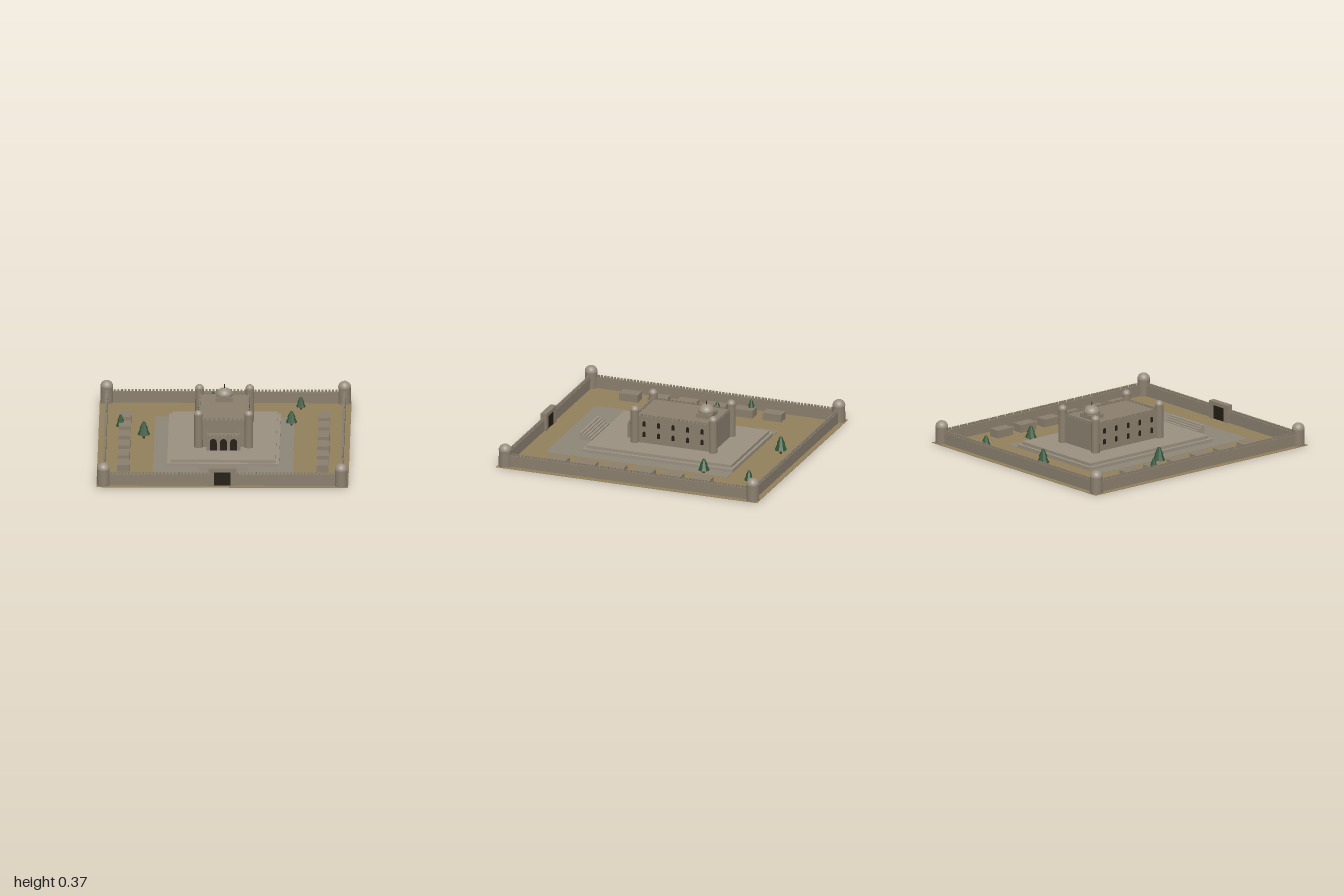
import * as THREE from 'three';
import { mergeGeometries } from 'three/addons/utils/BufferGeometryUtils.js';

const mat = (color, flatShading = false) => new THREE.MeshStandardMaterial({ color, flatShading });
const stone = mat(0x8a7f6e), paleStone = mat(0x9a9080), paving = mat(0x8d8678);
const earth = mat(0x92805a), dark = mat(0x241c15), leaf = mat(0x2f5235, true), bark = mat(0x4a3826);

function add(parent, name, geometry, material, x = 0, y = 0, z = 0) {
  const mesh = new THREE.Mesh(geometry, material);
  mesh.name = name;
  mesh.position.set(x, y, z);
  parent.add(mesh);
  return mesh;
}

// Box given by its centre in plan and its bottom height
function box(parent, name, material, w, h, d, x, y, z) {
  return add(parent, name, new THREE.BoxGeometry(w, h, d), material, x, y + h / 2, z);
}

// Merlons around a rectangle; sides lists which edges get them
function merlons(parent, name, hx, hz, cz, y, pitch, h, t, sides = ['front', 'back', 'left', 'right']) {
  const parts = [];
  for (const side of sides) {
    const alongX = side === 'front' || side === 'back';
    const half = alongX ? hx : hz;
    const n = Math.round((2 * half) / pitch);
    for (let i = 0; i < n; i++) {
      const s = -half + ((i + 0.5) * 2 * half) / n;
      const g = new THREE.BoxGeometry(alongX ? pitch * 0.55 : t, h, alongX ? t : pitch * 0.55);
      const sign = side === 'front' || side === 'left' ? 1 : -1;
      if (alongX) g.translate(s, y + h / 2, cz + sign * (hz - t / 2));
      else g.translate(sign * (hx - t / 2), y + h / 2, cz + s);
      parts.push(g);
    }
  }
  add(parent, name, mergeGeometries(parts), stone);
}

// Round tower with a domed cap
function tower(parent, name, r, y, shaft, x, z) {
  const g = new THREE.Group();
  g.name = name;
  g.position.set(x, y, z);
  add(g, 'towerShaft', new THREE.CylinderGeometry(r * 0.97, r, shaft, 20), stone, 0, shaft / 2, 0);
  add(g, 'towerDome', new THREE.SphereGeometry(r, 20, 8, 0, Math.PI * 2, 0, Math.PI / 2), paleStone, 0, shaft, 0);
  parent.add(g);
}

// Round-headed panel, standing on its base and facing +z
function archGeometry(w, h, depth) {
  const s = new THREE.Shape();
  s.moveTo(-w / 2, 0);
  s.lineTo(w / 2, 0);
  s.lineTo(w / 2, h - w / 2);
  s.absarc(0, h - w / 2, w / 2, 0, Math.PI, false);
  s.closePath();
  return new THREE.ExtrudeGeometry(s, { depth, bevelEnabled: false, curveSegments: 8 });
}

function buildOuterWall(root) {
  const g = new THREE.Group();
  g.name = 'outerWall';
  for (const s of [-1, 1]) {
    box(g, 'longWall', stone, 0.02, 0.085, 1.9, s * 0.85, 0, 0);
    for (const t of [-1, 1]) tower(g, 'cornerTower', 0.046, 0, 0.122, s * 0.85, t * 0.95);
    box(g, 'frontWall', stone, 0.75, 0.085, 0.02, s * 0.475, 0, 0.95);
  }
  box(g, 'backWall', stone, 1.7, 0.085, 0.02, 0, 0, -0.95);
  merlons(g, 'wallMerlons', 0.856, 0.956, 0, 0.085, 0.025, 0.016, 0.012);

  // Gatehouse with a recessed door on both faces
  for (const s of [-1, 1]) box(g, 'gatePier', stone, 0.04, 0.105, 0.046, s * 0.08, 0, 0.947);
  box(g, 'gateLintel', stone, 0.2, 0.027, 0.046, 0, 0.105, 0.947);
  box(g, 'gateDoor', dark, 0.12, 0.105, 0.03, 0, 0, 0.947);
  root.add(g);
}

function buildPlatform(root) {
  const g = new THREE.Group();
  g.name = 'platform';
  box(g, 'lowerTier', paleStone, 0.8, 0.028, 1.15, 0, 0, -0.045);
  box(g, 'upperTier', paleStone, 0.75, 0.022, 1.11, 0, 0.028, -0.045);
  for (let i = 0; i < 6; i++) {
    box(g, 'step', paleStone, 0.36, 0.01 * (i + 1), 0.0185, 0, 0, 0.539 + i * 0.0185);
  }
  root.add(g);
}

function buildHall(root) {
  const g = new THREE.Group();
  g.name = 'hall';
  const cz = -0.085, base = 0.05;
  box(g, 'hallBody', stone, 0.36, 0.2, 0.6, 0, base, cz);
  merlons(g, 'hallMerlons', 0.18, 0.3, cz, 0.25, 0.032, 0.016, 0.012);
  for (const s of [-1, 1]) for (const t of [-1, 1]) {
    tower(g, 'hallTower', 0.031, base, 0.244, s * 0.18, cz + t * 0.3);
  }

  // Two rows of arched windows along each long side
  const win = archGeometry(0.022, 0.04, 0.004);
  for (const s of [-1, 1]) for (const y of [0.095, 0.175]) for (let i = 0; i < 5; i++) {
    const w = add(g, 'window', win, dark, s * 0.179, y, 0.143 - i * 0.111);
    w.rotation.y = (s * Math.PI) / 2;
  }

  // Entrance porch with three arches
  box(g, 'porch', stone, 0.24, 0.105, 0.08, 0, base, 0.255);
  merlons(g, 'porchMerlons', 0.12, 0.04, 0.255, 0.155, 0.027, 0.014, 0.01, ['front', 'left', 'right']);
  const arch = archGeometry(0.05, 0.085, 0.004);
  for (const x of [-0.073, 0, 0.073]) add(g, 'porchArch', arch, dark, x, base, 0.293);

  // Roof dome on a square base
  const dz = -0.265;
  box(g, 'domeBase', stone, 0.124, 0.03, 0.116, 0, 0.25, dz);
  add(g, 'domeDrum', new THREE.CylinderGeometry(0.058, 0.058, 0.01, 24), stone, 0, 0.285, dz);
  const dome = add(g, 'dome', new THREE.SphereGeometry(0.058, 24, 10, 0, Math.PI * 2, 0, Math.PI / 2), paleStone, 0, 0.29, dz);
  dome.scale.y = 0.83;
  add(g, 'finial', new THREE.CylinderGeometry(0.002, 0.003, 0.03, 8), dark, 0, 0.35, dz);
  add(g, 'finialBall', new THREE.SphereGeometry(0.005, 8, 6), dark, 0, 0.352, dz);
  root.add(g);
}

function buildTree(root, x, z, r, h) {
  const g = new THREE.Group();
  g.name = 'tree';
  g.position.set(x, 0, z);
  add(g, 'trunk', new THREE.CylinderGeometry(r * 0.18, r * 0.24, h * 0.3, 6), bark, 0, h * 0.15, 0);
  add(g, 'lowerFoliage', new THREE.CylinderGeometry(r * 0.35, r, h * 0.5, 8), leaf, 0, h * 0.5, 0);
  add(g, 'upperFoliage', new THREE.CylinderGeometry(r * 0.2, r * 0.7, h * 0.4, 8), leaf, 0, h * 0.8, 0);
  root.add(g);
}

export function createModel() {
  const root = new THREE.Group();
  root.name = 'walledFort';
  box(root, 'ground', earth, 1.8, 0.003, 2, 0, 0, 0);
  box(root, 'courtyardPaving', paving, 1, 0.002, 1.4, 0, 0.003, 0.08);
  buildOuterWall(root);
  buildPlatform(root);
  buildHall(root);

  // Rows of small huts along both sides
  for (const s of [-1, 1]) for (let i = 0; i < 6; i++) {
    box(root, 'hut', stone, 0.086, 0.06, 0.144, s * 0.712, 0, -0.505 + i * 0.22);
  }

  // Trees: x, z, radius, height
  for (const t of [
    [-0.09, -0.8, 0.045, 0.13],
    [0.54, -0.8, 0.035, 0.095],
    [0.477, -0.43, 0.042, 0.11],
    [-0.743, -0.32, 0.034, 0.115],
    [-0.575, -0.125, 0.045, 0.126],
  ]) buildTree(root, ...t);
  return root;
}
